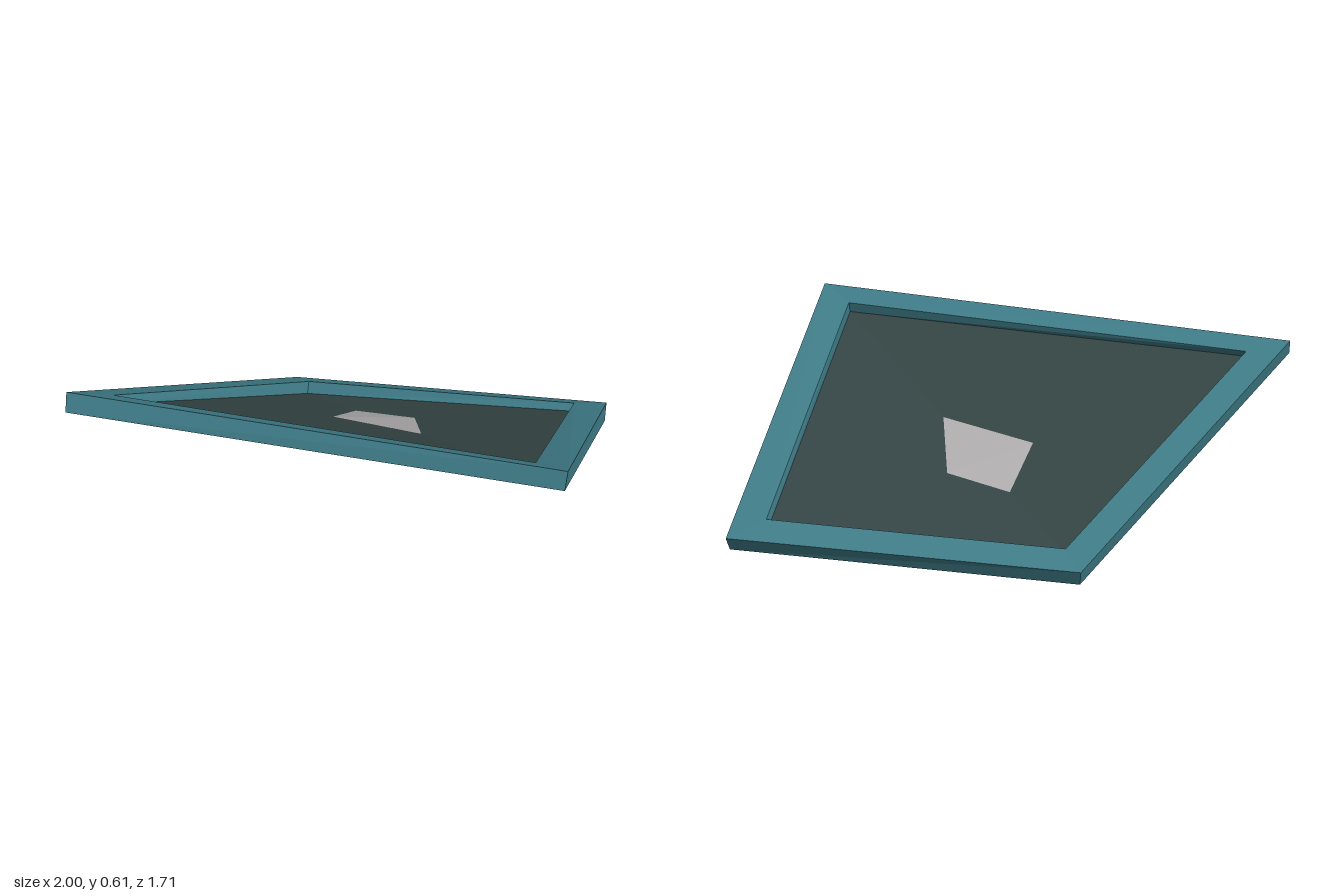
import * as THREE from 'three';

// Corner rings, counter-clockwise from above: back right, front, left, back left
const topOuter = [[-0.97, 0.61, -0.855], [-0.03, 0.61, 0.84], [1, 0.07, 0.24], [0.22, 0.07, -0.855]];
const topInner = [[-0.83, 0.575, -0.75], [-0.03, 0.57, 0.69], [0.85, 0.117, 0.18], [0.19, 0.113, -0.75]];
const panelRing = [[-0.845, 0.545, -0.74], [-0.04, 0.525, 0.695], [0.83, 0.088, 0.185], [0.17, 0.065, -0.74]];
const baseRing = [[-1, 0.54, -0.835], [-0.055, 0.54, 0.85], [0.97, 0, 0.26], [0.2, 0, -0.835]];

function material(name, color) {
  const m = new THREE.MeshStandardMaterial({ color, side: THREE.DoubleSide, flatShading: true });
  m.name = name;
  return m;
}

// Flat-shaded mesh from a list of corner triples
function facets(name, corners, mat) {
  const g = new THREE.BufferGeometry();
  g.setAttribute('position', new THREE.Float32BufferAttribute(corners.flat(), 3));
  g.computeVertexNormals();
  const mesh = new THREE.Mesh(g, mat);
  mesh.name = name;
  return mesh;
}

// Band of four quads joining two rings
function band(name, a, b, mat) {
  const corners = [];
  for (let i = 0; i < 4; i++) {
    const j = (i + 1) % 4;
    corners.push(a[i], a[j], b[j], a[i], b[j], b[i]);
  }
  return facets(name, corners, mat);
}

export function createModel() {
  const teal = material('teal frame', 0x3f7d89);
  const dark = material('dark slate', 0x354645);
  const grey = material('light grey', 0xb0aeae);

  const model = new THREE.Group();
  model.name = 'framedPanel';

  // Frame: outer sides, rim and recess walls
  const frame = new THREE.Group();
  frame.name = 'frame';
  frame.add(
    band('outerSides', baseRing, topOuter, teal),
    band('rim', topOuter, topInner, teal),
    band('recessWalls', topInner, panelRing, teal),
  );
  model.add(frame);

  // Warped recessed panel, folded along its front-to-back diagonal
  const [pa, pd, pc, pb] = panelRing;
  model.add(facets('panel', [pa, pd, pb, pd, pc, pb], dark));

  // Warped backing, folded along the other diagonal so it crosses the panel
  const [ba, bd, bc, bb] = baseRing;
  model.add(facets('backing', [ba, bb, bc, ba, bc, bd], grey));

  return model;
}
